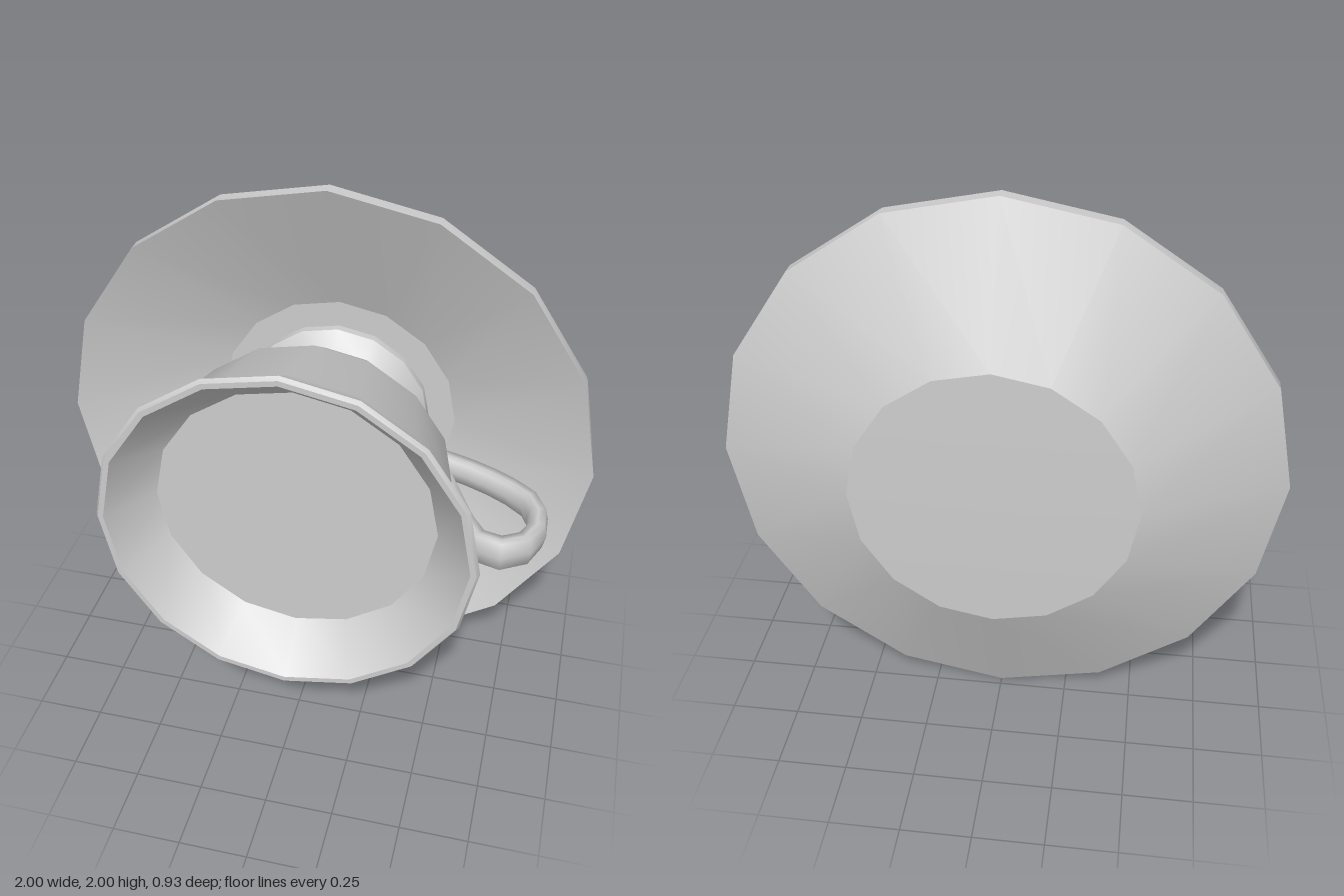
import * as THREE from 'three';
import { toCreasedNormals } from 'three/addons/utils/BufferGeometryUtils.js';

const SIDES = 16;
const CREASE = Math.PI / 6;

// Turned part: profile of [radius, height], running outward, up and back in
function turned(name, profile, material) {
  const points = profile.map(([r, h]) => new THREE.Vector2(r, h));
  const geometry = toCreasedNormals(new THREE.LatheGeometry(points, SIDES), CREASE);
  const mesh = new THREE.Mesh(geometry, material);
  mesh.name = name;
  return mesh;
}

// Looped handle: flattened tube, cut to flat sides and wider near the lip
function createHandle(material) {
  const path = [
    [0.40, -0.14], [0.57, -0.085], [0.72, -0.01], [0.805, 0.065], [0.83, 0.165],
    [0.81, 0.26], [0.745, 0.32], [0.655, 0.315], [0.59, 0.23], [0.53, 0.1], [0.48, 0],
  ].map(([x, y]) => new THREE.Vector3(x, y, 0));
  const geometry = new THREE.TubeGeometry(new THREE.CatmullRomCurve3(path), 14, 0.036, 8);
  const p = geometry.attributes.position;
  for (let i = 0; i < p.count; i++) {
    const half = 0.043 + 0.036 * Math.max(0, p.getY(i));
    p.setZ(i, THREE.MathUtils.clamp(p.getZ(i) * 2.16, -half, half));
  }
  geometry.computeVertexNormals();
  const mesh = new THREE.Mesh(geometry, material);
  mesh.name = 'handle';
  return mesh;
}

export function createModel() {
  const china = new THREE.MeshStandardMaterial({ color: 0xcccccc });
  china.name = 'china';
  china.side = THREE.DoubleSide;

  const saucer = new THREE.Group();
  saucer.name = 'saucer';
  saucer.add(
    turned('saucerBase', [[0, -0.465], [0.5, -0.45]], china),
    turned('saucerRim', [[0.5, -0.45], [1, -0.22], [1, -0.17], [0.46, -0.4]], china),
    turned('saucerWell', [[0.46, -0.4], [0, -0.4]], china),
  );

  const cup = new THREE.Group();
  cup.name = 'cup';
  cup.add(
    // Flared foot
    turned('foot', [[0, -0.4], [0.36, -0.4], [0.36, -0.37], [0.29, -0.3]], china),
    // Outer wall, lip and inner wall
    turned('bowl', [
      [0.29, -0.3], [0.4, -0.17], [0.51, 0], [0.59, 0.32],
      [0.67, 0.45], [0.66, 0.465], [0.64, 0.465], [0.505, 0.29],
    ], china),
    turned('bowlFloor', [[0.505, 0.29], [0, 0.29]], china),
    createHandle(china),
  );

  // Tip the set on its edge so the opening faces forward
  const set = new THREE.Group();
  set.name = 'cupAndSaucer';
  set.add(saucer, cup);
  set.rotation.x = Math.PI / 2;
  set.position.y = 1;

  const model = new THREE.Group();
  model.name = 'teaSet';
  model.add(set);
  return model;
}
